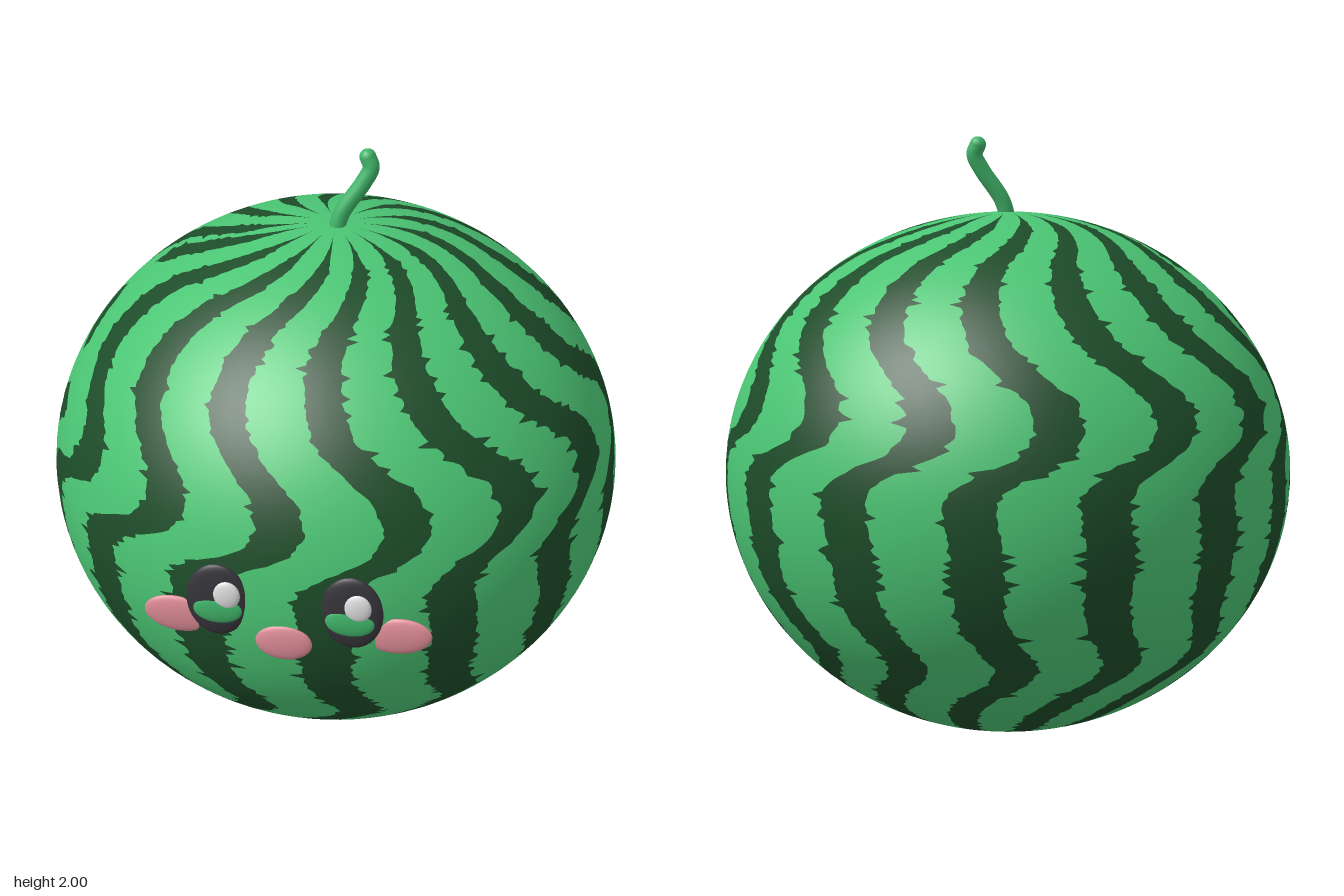
import * as THREE from 'three';

const RX = 0.952, RY = 0.875, RZ = 0.945, ROWS = 220;
const FIRST = -3, LAST = 11, STEP = 24.6, HALF_WIDTH = 4.7;

// Wave followed by every stripe: [height, longitude in degrees]
const WAVE = [
  [0, -30], [0.1, -28], [0.19, -25], [0.27, -19], [0.34, -11], [0.4, -9], [0.52, -14.5],
  [0.6, -16.5], [0.76, -16.5], [0.87, -17.5], [0.94, -18], [0.98, -16.5], [1.025, -12], [1.08, -4],
  [1.15, -1], [1.236, -2.5], [1.315, -9], [1.395, -15.3], [1.475, -18], [1.55, -18.5], [1.617, -15.5],
  [1.66, -9], [1.684, -5], [1.71, 0], [1.74, 4],
];

function wave(y) {
  let i = 1;
  while (i < WAVE.length - 1 && WAVE[i][0] < y) i++;
  const [y0, a0] = WAVE[i - 1], [y1, a1] = WAVE[i];
  return a0 + (a1 - a0) * THREE.MathUtils.clamp((y - y0) / (y1 - y0), 0, 1);
}

// Repeatable noise from 0 to 1
function noise(a, b) {
  const s = Math.sin(a * 127.1 + b * 311.7) * 43758.5453;
  return s - Math.floor(s);
}

const polar = (row) => (row / ROWS) * Math.PI;

// Longitude of one ragged edge of a stripe (side -1 or 1)
function edge(k, side, row) {
  const y = RY + RY * Math.cos(polar(row));
  let half = HALF_WIDTH;
  half *= THREE.MathUtils.clamp((1.747 - y) / 0.035, 0, 1); // plain crown
  half *= 1 + 0.5 * THREE.MathUtils.clamp((0.02 - y) / 0.015, 0, 1); // darker base
  // the first stripe is broken into patches above the middle
  if (k === FIRST && y > 0.9 && y < 1.6) half *= THREE.MathUtils.clamp(0.6 + 1.1 * Math.sin(y * 24), 0, 1);
  const comb = Math.pow(noise(k * 2 + side, row), 7) * 3.6 + (noise(k + 31 * side, row) - 0.5) * 0.7;
  return k * STEP + wave(y) + side * half * (1 + comb / HALF_WIDTH);
}

// Surface panels between two longitude curves, one list entry per panel
function panels(list, columns) {
  const pos = [], nor = [], index = [];
  for (const [from, to] of list) {
    const base = pos.length / 3;
    for (let r = 0; r <= ROWS; r++) {
      const p = polar(r), a = from(r), b = to(r);
      for (let c = 0; c <= columns; c++) {
        const t = THREE.MathUtils.degToRad(a + ((b - a) * c) / columns);
        const x = Math.sin(p) * Math.sin(t), y = Math.cos(p), z = Math.sin(p) * Math.cos(t);
        pos.push(x * RX, y * RY, z * RZ);
        const n = new THREE.Vector3(x / RX, y / RY, z / RZ).normalize();
        nor.push(n.x, n.y, n.z);
        if (r < ROWS && c < columns) {
          const i = base + r * (columns + 1) + c, j = i + columns + 1;
          index.push(i, j, i + 1, i + 1, j, j + 1);
        }
      }
    }
  }
  const g = new THREE.BufferGeometry();
  g.setAttribute('position', new THREE.Float32BufferAttribute(pos, 3));
  g.setAttribute('normal', new THREE.Float32BufferAttribute(nor, 3));
  g.setIndex(index);
  return g;
}

export function createModel() {
  const group = new THREE.Group();
  const mat = (name, color) => {
    const m = new THREE.MeshStandardMaterial({ color });
    m.name = name;
    return m;
  };
  const rindGreen = mat('rindGreen', 0x4bc574);
  const stripeGreen = mat('stripeGreen', 0x1d4c29);
  const stemGreen = mat('stemGreen', 0x40b469);
  const eyeBlack = mat('eyeBlack', 0x363439);
  const eyeWhite = mat('eyeWhite', 0xe0e0e0);
  const pink = mat('pink', 0xde8c97);

  const add = (name, geometry, material, x = 0, y = 0, z = 0) => {
    const mesh = new THREE.Mesh(geometry, material);
    mesh.name = name;
    mesh.position.set(x, y, z);
    group.add(mesh);
    return mesh;
  };

  // Melon body: alternating light and dark panels, the last light one closing the circle
  const light = [], dark = [];
  for (let k = FIRST; k <= LAST; k++) {
    dark.push([(r) => edge(k, -1, r), (r) => edge(k, 1, r)]);
    const next = k < LAST ? (r) => edge(k + 1, -1, r) : (r) => edge(FIRST, -1, r) + 360;
    light.push([(r) => edge(k, 1, r), next]);
  }
  add('rind', panels(light, 4), rindGreen, 0, RY, -0.01);
  add('stripes', panels(dark, 2), stripeGreen, 0, RY, -0.01);

  // Bent stem with a closed tip
  const path = new THREE.CatmullRomCurve3([
    [0, 1.72, 0], [0.02, 1.79, -0.01], [0.085, 1.89, -0.03], [0.108, 1.94, -0.04], [0.096, 1.972, -0.045],
  ].map((p) => new THREE.Vector3(...p)));
  add('stem', new THREE.TubeGeometry(path, 32, 0.027, 16), stemGreen);
  add('stemTip', new THREE.SphereGeometry(0.027, 16, 12), stemGreen, 0.096, 1.972, -0.045);

  // Face, made of flattened ellipsoids
  const ball = new THREE.SphereGeometry(1, 40, 24);
  const oval = (name, material, x, y, z, sx, sy, sz) => {
    const mesh = add(name, ball, material, x, y, z);
    mesh.scale.set(sx, sy, sz);
    return mesh;
  };
  for (const [side, s] of [['left', 1], ['right', -1]]) {
    oval(side + 'Eye', eyeBlack, s * 0.207, 0.91, 0.916, 0.097, 0.13, 0.025);
    oval(side + 'Iris', stemGreen, s * 0.204, 0.883, 0.932, 0.076, 0.049, 0.014);
    oval(side + 'Glint', eyeWhite, s * 0.2015 + 0.027, 0.942, 0.935, 0.042, 0.049, 0.015);
    oval(side + 'Cheek', pink, s * 0.346, 0.81, 0.877, 0.104, 0.065, 0.018).rotation.z = s * 0.12;
  }
  oval('mouth', pink, 0, 0.783, 0.932, 0.088, 0.063, 0.018);

  return group;
}
